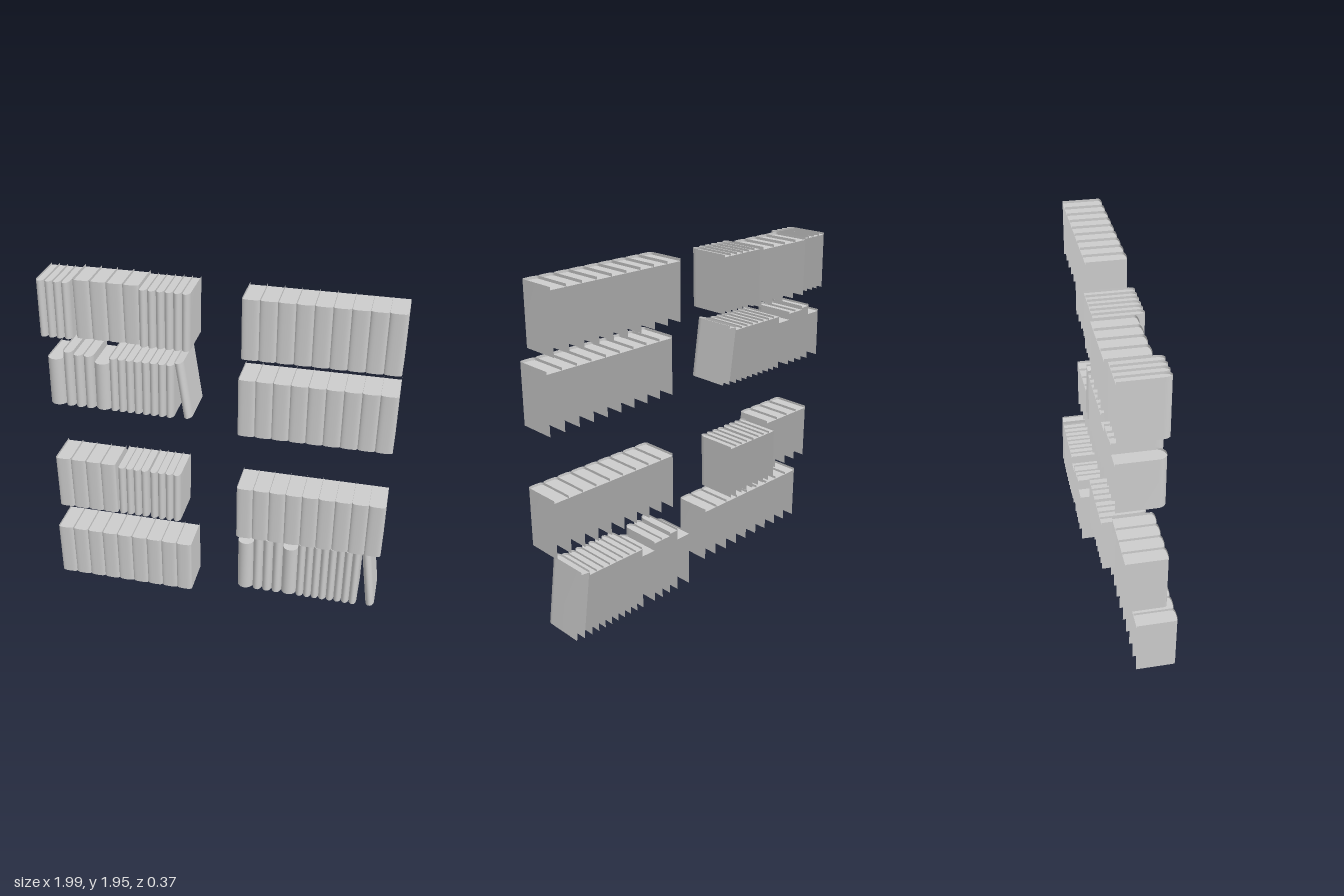
import * as THREE from 'three';

const material = new THREE.MeshStandardMaterial({ color: 0xcccccc, side: THREE.DoubleSide });

// Plan of a book: back left corner, round the spine, back right corner
function outline(w, back, front, bulge, power) {
  const pts = [[-w / 2, back]];
  const steps = 14;
  for (let i = 0; i <= steps; i++) {
    const a = Math.PI * (1 - i / steps);
    const c = Math.cos(a), s = Math.max(0, Math.sin(a));
    pts.push([
      Math.sign(c) * Math.pow(Math.abs(c), power) * w / 2,
      front - bulge + Math.pow(s, power) * bulge,
    ]);
  }
  pts.push([w / 2, back]);
  return pts;
}

// Thin wrap-around cover, open at the back and the bottom
function coverGeometry(pts, h) {
  const pos = [], index = [];
  pts.forEach(([x, z]) => pos.push(x, 0, z, x, h, z));
  for (let i = 0; i < pts.length - 1; i++) {
    const a = i * 2;
    index.push(a, a + 2, a + 3, a, a + 3, a + 1);
  }
  const g = new THREE.BufferGeometry();
  g.setAttribute('position', new THREE.Float32BufferAttribute(pos, 3));
  g.setIndex(index);
  g.computeVertexNormals();
  return g;
}

function book({ w, h, back, front, bulge, power, recess }) {
  const pts = outline(w, back, front, bulge, power);
  const group = new THREE.Group();
  group.name = 'book';
  const cover = new THREE.Mesh(coverGeometry(pts, h), material);
  cover.name = 'cover';
  // Top of the pages, set a little below the cover's edge
  const shape = new THREE.Shape(pts.map(([x, z]) => new THREE.Vector2(x, -z)));
  const pages = new THREE.Mesh(new THREE.ShapeGeometry(shape).rotateX(-Math.PI / 2), material);
  pages.position.y = h - recess;
  pages.name = 'pages';
  group.add(cover, pages);
  return group;
}

// Wide volumes with nearly flat spines, filling x0 to x1
function wideRow(name, x0, x1, y, count, front) {
  const row = new THREE.Group();
  row.name = name;
  const w = (x1 - x0) / count;
  for (let i = 0; i < count; i++) {
    const b = book({ w, h: 0.346, back: front - 0.23, front, bulge: 0.018, power: 0.7, recess: 0.015 });
    b.position.set(x0 + w * (i + 0.5), y, 0);
    row.add(b);
  }
  return row;
}

// Slim volumes with rounded spines, from a list of [width, height]
function slimRow(name, x0, y, sizes, tilt = 0) {
  const row = new THREE.Group();
  row.name = name;
  let x = x0;
  for (const [w, h] of sizes) {
    const b = book({ w, h, back: -0.168, front: 0.092, bulge: Math.min(0.045, w * 0.8), power: 1, recess: 0.012 });
    b.position.set(x + w / 2, y, 0);
    b.rotation.z = tilt;
    row.add(b);
    x += w;
  }
  return row;
}

// Mixed slim volumes with one leaning at the right end
function mixedRow(name, x0, y, scale, tilt, lean) {
  const sizes = [[0.095, 0.345], [0.06, 0.405], [0.06, 0.39], [0.06, 0.39], [0.092, 0.345]];
  for (let i = 0; i < 8; i++) sizes.push([0.0467, 0.39]);
  const row = slimRow(name, x0, y, sizes.map(([w, h]) => [w, h * scale]), tilt);
  const leaning = slimRow('leaningBook', -0.026, 0, [[0.052, 0.405 * scale]]);
  leaning.position.set(x0 + 0.822, y + 0.008, 0);
  leaning.rotation.z = lean;
  row.add(leaning);
  return row;
}

export function createModel() {
  const model = new THREE.Group();
  model.name = 'shelvedBooks';
  const slim = (n) => Array.from({ length: n }, () => [0.0475, 0.333]);
  const tilt = -0.02;

  // Right-hand stacks
  model.add(
    wideRow('topRightBooks', 0.15, 0.995, 1.608, 9, 0.118),
    wideRow('upperRightBooks', 0.15, 0.995, 1.174, 9, 0.185),
    wideRow('lowerRightBooks', 0.15, 0.995, 0.47, 9, 0.185),
    mixedRow('bottomRightBooks', 0.14, 0.005, 1, 0, 0.13),
  );

  // Left-hand stacks
  model.add(
    slimRow('topLeftSlimBooks', -0.998, 1.603, slim(4), tilt),
    wideRow('topLeftWideBooks', -0.797, -0.423, 1.592, 4, 0.045),
    slimRow('topMiddleSlimBooks', -0.423, 1.603, slim(6), tilt),
    mixedRow('upperLeftBooks', -0.979, 1.175, 0.85, tilt, 0.14),
    wideRow('lowerLeftWideBooks', -0.97, -0.598, 0.47, 4, 0.12),
    slimRow('lowerLeftSlimBooks', -0.603, 0.447, slim(4), tilt),
    slimRow('lowerMiddleSlimBooks', -0.405, 0.447, slim(4), tilt),
    wideRow('bottomLeftBooks', -0.97, -0.125, 0.004, 9, 0.185),
  );
  return model;
}
